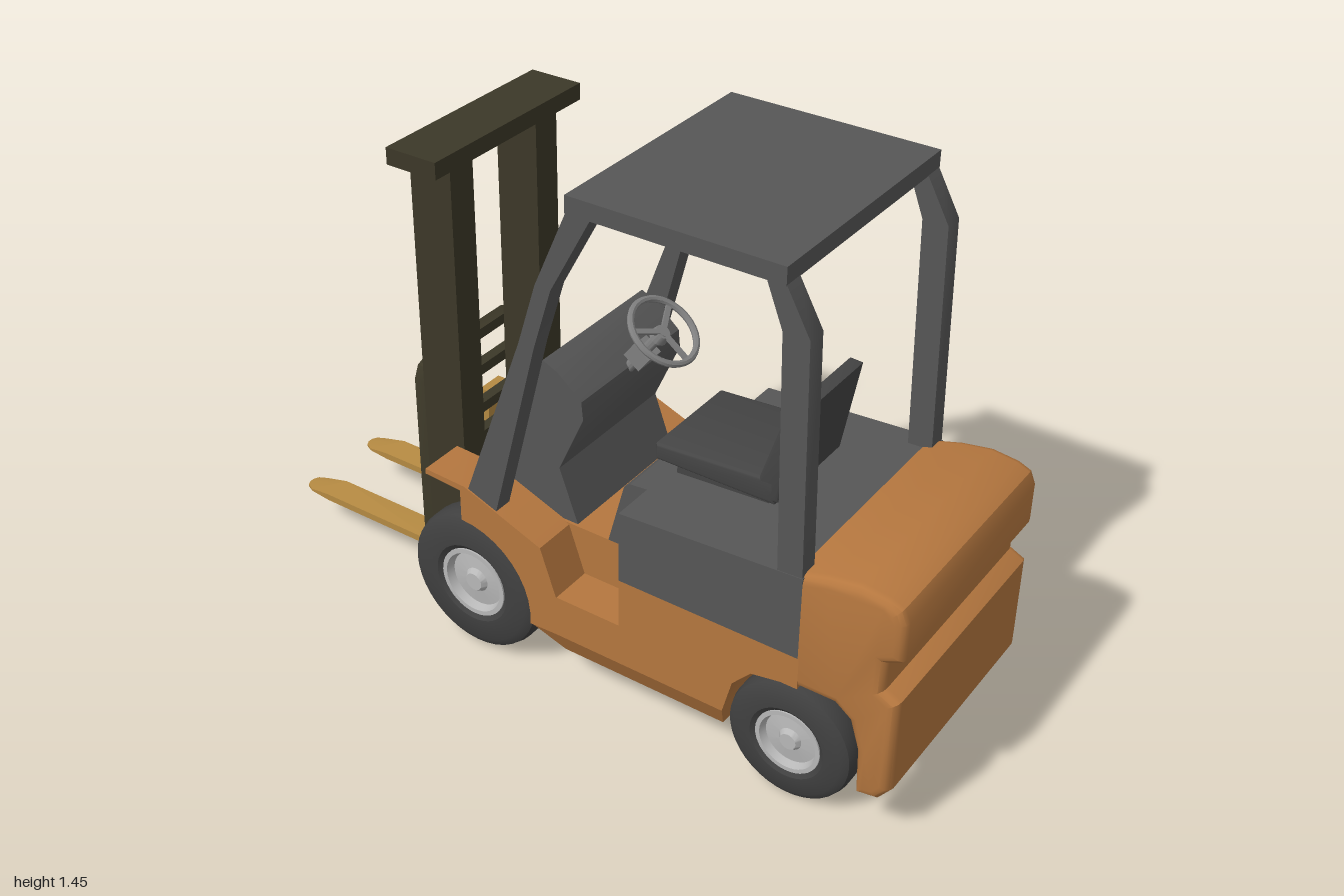
import * as THREE from 'three';
import { toCreasedNormals } from 'three/addons/utils/BufferGeometryUtils.js';

const mat = (color) => new THREE.MeshStandardMaterial({ color });

export function createModel() {
  const model = new THREE.Group();
  const orange = mat(0xb5773f), grey = mat(0x565656), seatGrey = mat(0x444444), rubber = mat(0x404040);
  const mastDark = mat(0x3c3828), forkYellow = mat(0xb58a42), metal = mat(0xb8b8b8), steel = mat(0x808080);

  const add = (name, geo, material, parent = model) => {
    const mesh = new THREE.Mesh(toCreasedNormals(geo, 0.6), material);
    mesh.name = name;
    parent.add(mesh);
    return mesh;
  };
  const box = (name, x0, x1, y0, y1, z0, z1, material) =>
    add(name, new THREE.BoxGeometry(x1 - x0, y1 - y0, z1 - z0)
      .translate((x0 + x1) / 2, (y0 + y1) / 2, (z0 + z1) / 2), material);
  const outline = (pts) => new THREE.Shape(pts.map((p) => new THREE.Vector2(...p)));
  // side profile (x, y) extruded from z0 to z1, optionally with rounded edges
  const slab = (pts, z0, z1, bevel = 0) =>
    new THREE.ExtrudeGeometry(outline(pts), {
      depth: z1 - z0 - 2 * bevel, bevelEnabled: bevel > 0, bevelSize: bevel,
      bevelThickness: bevel, bevelOffset: -bevel, bevelSegments: 3,
    }).translate(0, 0, z0 + bevel);
  // the same part on both sides
  const pair = (name, pts, z0, z1, material) => {
    add(name + 'Left', slab(pts, z0, z1), material);
    add(name + 'Right', slab(pts, -z1, -z0), material);
  };

  // chassis: wheel arches run across the full width, steps are cut into the sides
  const W = 0.34, C = 0.22;
  const frontArch = [];
  for (let i = 0; i <= 10; i++) {
    const a = Math.PI / 2 - (i / 10) * 1.68;
    frontArch.push([-0.25 + 0.215 * Math.cos(a), 0.21 + 0.215 * Math.sin(a)]);
  }
  const under = [...frontArch, [0.05, 0.19], [0.545, 0.19], [0.57, 0.29], [0.62, 0.345], [0.7, 0.36], [0.745, 0.36]];
  add('chassisCentre', slab([...under, [0.745, 0.45], [-0.25, 0.45]], -C, C), orange);
  pair('chassisSide', [...under, [0.745, 0.45], [0.24, 0.45], [0.24, 0.31], [0.05, 0.31],
    [0, 0.445], [-0.24, 0.52], [-0.25, 0.52]], C, W, orange);
  pair('fender', [[-0.36, 0.525], [-0.25, 0.518], [-0.01, 0.43], [0.035, 0.31], [0.05, 0.31],
    [0.003, 0.445], [-0.235, 0.535], [-0.36, 0.54]], C - 0.005, W + 0.002, orange);

  // belly tapers inward towards the bottom
  const belly = slab([[-0.035, 0.19], [0.05, 0.12], [0.53, 0.12], [0.545, 0.19]], -W, W);
  const bp = belly.attributes.position;
  for (let i = 0; i < bp.count; i++) if (bp.getY(i) < 0.15) bp.setZ(i, bp.getZ(i) * 0.9);
  add('belly', belly, orange);

  // counterweight with a groove across the back
  add('counterweight', slab([
    [0.715, 0.36], [0.84, 0.36], [0.88, 0.33], [0.905, 0.25], [0.91, 0.12], [0.97, 0.13], [1, 0.17],
    [1, 0.435], [0.96, 0.455], [0.96, 0.535], [1, 0.555], [1, 0.66], [0.985, 0.695], [0.95, 0.71],
    [0.88, 0.718], [0.8, 0.705], [0.715, 0.68],
  ], -W, W, 0.025), orange);

  // hood with a narrower front, and the dashboard cowl
  add('hood', slab([[0.24, 0.45], [0.742, 0.45], [0.742, 0.68], [0.24, 0.65]], -W, W), grey);
  add('hoodFront', slab([[0.125, 0.45], [0.25, 0.45], [0.25, 0.65], [0.19, 0.645], [0.172, 0.63]], -C, C), grey);
  add('cowl', slab([[-0.26, 0.45], [0.025, 0.45], [-0.03, 0.6], [0.045, 0.77], [0.04, 0.82],
    [-0.03, 0.88], [-0.075, 0.9], [-0.25, 0.53]], -0.212, 0.212), grey);

  // overhead guard
  box('roof', 0.095, 0.66, 1.4, 1.445, -W, W, grey);
  pair('frontPost', [[-0.235, 0.5], [-0.14, 0.48], [-0.002, 1.02], [0.05, 1.19], [0.165, 1.405],
    [0.098, 1.405], [0.005, 1.19], [-0.047, 1.02]], 0.285, W - 0.002, grey);
  pair('rearPost', [[0.675, 0.66], [0.74, 0.67], [0.722, 1.29], [0.658, 1.405], [0.61, 1.405],
    [0.655, 1.29]], 0.285, W - 0.002, grey);

  // seat
  box('seatBase', 0.26, 0.52, 0.645, 0.69, -0.12, 0.12, seatGrey);
  add('seatCushion', slab([[0.215, 0.69], [0.55, 0.69], [0.55, 0.755], [0.505, 0.755], [0.215, 0.735]],
    -0.15, 0.15, 0.008), seatGrey);
  add('seatBack', slab([[0.5, 0.735], [0.53, 0.69], [0.56, 0.7], [0.605, 0.955], [0.57, 0.957]],
    -0.15, 0.15, 0.008), seatGrey);

  // steering wheel and column, tilted towards the seat
  const steering = new THREE.Group();
  steering.name = 'steering';
  steering.position.set(0.135, 0.95, 0);
  steering.rotation.z = -0.64;
  model.add(steering);
  add('steeringRim', new THREE.TorusGeometry(0.093, 0.009, 8, 32).rotateX(Math.PI / 2), steel, steering);
  add('steeringHub', new THREE.CylinderGeometry(0.02, 0.025, 0.025, 16).translate(0, -0.015, 0), steel, steering);
  for (let i = 0; i < 3; i++) {
    add('steeringSpoke', new THREE.BoxGeometry(0.09, 0.008, 0.014).translate(0.046, -0.004, 0)
      .rotateY((i * 2 * Math.PI) / 3), steel, steering);
  }
  add('steeringColumn', new THREE.CylinderGeometry(0.014, 0.014, 0.25, 12).translate(0, -0.125, 0), steel, steering);
  add('columnHousing', new THREE.BoxGeometry(0.055, 0.05, 0.055).translate(0, -0.105, 0), steel, steering);

  // mast
  for (const s of [-1, 1]) {
    const rail = [0.125, 0.21].map((z) => z * s).sort((a, b) => a - b);
    box('mastRail', -0.465, -0.34, 0.21, 1.345, ...rail, mastDark);
  }
  box('mastTop', -0.47, -0.32, 1.34, 1.385, -0.285, 0.285, mastDark);
  box('mastFoot', -0.44, -0.36, 0.22, 0.27, -0.13, 0.13, mastDark);

  // fork carriage: a rounded frame with cross bars
  const frame = (h, y0, y1, r) => [[-h, y0], [h, y0], [h, y1 - r], [h - r * 0.3, y1 - r * 0.3], [h - r, y1],
    [r - h, y1], [r * 0.3 - h, y1 - r * 0.3], [-h, y1 - r]];
  const frameShape = outline(frame(0.205, 0.14, 0.74, 0.05));
  frameShape.holes.push(outline(frame(0.175, 0.17, 0.71, 0.035)));
  add('carriageFrame', new THREE.ExtrudeGeometry(frameShape, { depth: 0.035, bevelEnabled: false })
    .rotateY(Math.PI / 2).translate(-0.5, 0, 0), mastDark);
  for (const y of [0.22, 0.31, 0.4, 0.49, 0.61]) {
    box('carriageBar', -0.498, -0.468, y - 0.015, y + 0.015, -0.18, 0.18, mastDark);
  }

  // forks with rounded tips that thin out
  for (const s of [-1, 1]) {
    const blade = new THREE.ExtrudeGeometry(outline([[-0.5, -0.04], [-0.5, 0.04], [-0.9, 0.04], [-0.97, 0.033],
      [-0.992, 0.022], [-1, 0.008], [-1, -0.008], [-0.992, -0.022], [-0.97, -0.033], [-0.9, -0.04]]),
    { depth: 0.02, bevelEnabled: false }).rotateX(-Math.PI / 2).translate(0, 0.115, s * 0.127);
    const p = blade.attributes.position;
    for (let i = 0; i < p.count; i++) if (p.getX(i) < -0.95 && p.getY(i) > 0.125) p.setY(i, 0.122);
    add('forkBlade', blade, forkYellow);
    box('forkShank', -0.527, -0.5, 0.115, 0.5, s * 0.127 - 0.04, s * 0.127 + 0.04, forkYellow);
  }

  // wheels: lathe profiles (radius, offset) turned around the axle
  const lathe = (pts) => new THREE.LatheGeometry(pts.map((p) => new THREE.Vector2(...p)), 40).rotateX(Math.PI / 2);
  const wheel = (name, x, y, z, r, w, rim) => {
    for (const s of [1, -1]) {
      const g = new THREE.Group();
      g.name = name + (s > 0 ? 'Left' : 'Right');
      g.position.set(x, y, s * z);
      if (s < 0) g.rotation.y = Math.PI;
      model.add(g);
      const h = w / 2;
      add('tyre', lathe([[rim, -h * 0.8], [rim * 1.15, -h], [r * 0.86, -h], [r * 0.97, -h * 0.75], [r, -h * 0.4],
        [r, h * 0.4], [r * 0.97, h * 0.75], [r * 0.86, h], [rim * 1.15, h], [rim, h * 0.8]]), rubber, g);
      add('rim', lathe([[0, -h * 0.7], [rim * 1.01, -h * 0.7], [rim * 1.01, h * 0.9], [rim * 0.88, h * 0.9],
        [rim * 0.8, h * 0.5], [rim * 0.35, h * 0.6], [rim * 0.25, h * 0.85], [0, h * 0.85]]), metal, g);
    }
    add(name + 'Axle', new THREE.CylinderGeometry(0.016, 0.016, 2 * z, 12)
      .rotateX(Math.PI / 2).translate(x, y, 0), steel);
  };
  wheel('frontWheel', -0.24, 0.213, 0.27, 0.202, 0.11, 0.1);
  wheel('rearWheel', 0.72, 0.17, 0.28, 0.17, 0.1, 0.088);

  return model;
}
